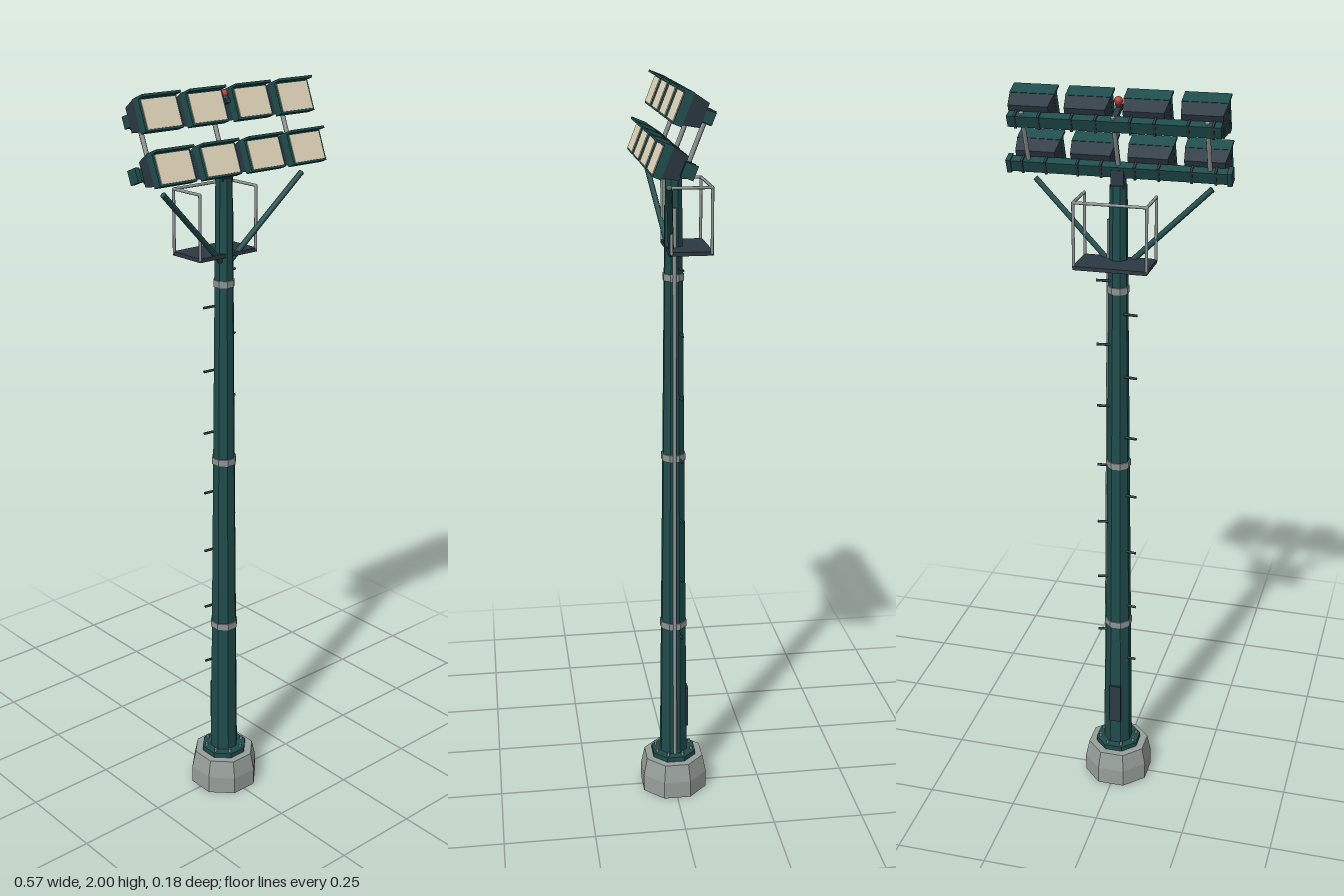
import * as THREE from 'three';

const mat = (name, color) => {
  const m = new THREE.MeshStandardMaterial({ color });
  m.name = name;
  return m;
};

export function createModel() {
  const green = mat('dark green paint', 0x1f4c4c);
  const slate = mat('slate housing', 0x2c3943);
  const steel = mat('galvanised steel', 0x8d9593);
  const concrete = mat('concrete', 0x98a09c);
  const cream = mat('warm lens', 0xe6d9bd);
  const red = mat('beacon red', 0xb5382e);

  const root = new THREE.Group();
  root.name = 'floodlightTower';

  const add = (parent, name, geo, material, x = 0, y = 0, z = 0) => {
    const m = new THREE.Mesh(geo, material);
    m.name = name;
    m.position.set(x, y, z);
    parent.add(m);
    return m;
  };
  const box = (w, h, d) => new THREE.BoxGeometry(w, h, d);

  // Eight-sided prism with flats to the front; sizes are centre-to-flat
  const octagon = (top, bottom, h) => {
    const k = 1 / Math.cos(Math.PI / 8);
    const g = new THREE.CylinderGeometry(top * k, bottom * k, h, 8).rotateY(Math.PI / 8).toNonIndexed();
    g.computeVertexNormals();
    return g;
  };

  // Round bar between two points
  const bar = (parent, name, a, b, r, material, sides = 8) => {
    const p = new THREE.Vector3(...a), q = new THREE.Vector3(...b);
    const m = add(parent, name, new THREE.CylinderGeometry(r, r, p.distanceTo(q), sides), material);
    m.position.copy(p).add(q).multiplyScalar(0.5);
    m.quaternion.setFromUnitVectors(new THREE.Vector3(0, 1, 0), q.sub(p).normalize());
    return m;
  };

  // Footing, flange and tapered pole
  const poleBottom = 0.11, poleTop = 1.77;
  const poleSize = (y) => 0.037 - 0.016 * (y - poleBottom) / (poleTop - poleBottom);
  add(root, 'footing', octagon(0.09, 0.09, 0.05), concrete, 0, 0.025, 0);
  add(root, 'footingShoulder', octagon(0.08, 0.09, 0.05), concrete, 0, 0.075, 0);
  add(root, 'baseFlange', octagon(0.06, 0.06, 0.014), green, 0, 0.107, 0);
  add(root, 'pole', octagon(poleSize(poleTop), poleSize(poleBottom), poleTop - poleBottom),
    green, 0, (poleTop + poleBottom) / 2, 0);
  for (let i = 0; i < 8; i++) {
    const a = (i + 0.5) * Math.PI / 4;
    add(root, 'anchorBolt', new THREE.CylinderGeometry(0.004, 0.004, 0.012, 6), steel,
      0.053 * Math.sin(a), 0.118, 0.053 * Math.cos(a));
  }
  for (const y of [0.515, 1.01, 1.5]) {
    const s = poleSize(y) + 0.003;
    add(root, 'jointBand', octagon(s, s, 0.018), steel, 0, y, 0);
  }

  // Access door on the back and conduit up the side
  add(root, 'accessDoor', box(0.032, 0.12, 0.008), slate, 0, 0.25, -0.037);
  bar(root, 'conduit', [0.038, 0.115, 0], [0.025, 1.68, 0], 0.005, steel);

  // Climbing steps, alternating sides
  for (let i = 0; i < 14; i++) {
    const side = i % 2 ? 1 : -1, y = 0.4 + i * 0.0865;
    const x = poleSize(y) - 0.008;
    bar(root, 'climbingStep', [side * x, y, -0.014], [side * 0.054, y, -0.018], 0.0035, slate, 6);
  }

  // Service platform with guard rail
  const platform = new THREE.Group();
  platform.name = 'servicePlatform';
  root.add(platform);
  add(platform, 'platformDeck', box(0.19, 0.01, 0.11), slate, 0, 1.575, -0.035);
  const corners = [[-0.093, 0.017], [-0.093, -0.086], [0.093, -0.086], [0.093, 0.017]];
  corners.forEach(([x, z], i) => {
    bar(platform, 'railPost', [x, 1.575, z], [x, 1.74, z], 0.004, steel);
    add(platform, 'railCorner', new THREE.SphereGeometry(0.004, 8, 6), steel, x, 1.74, z);
    if (i < 3) {
      const [nx, nz] = corners[i + 1];
      bar(platform, 'guardRail', [x, 1.74, z], [nx, 1.74, nz], 0.004, steel);
    }
  });

  // Diagonal braces
  for (const s of [-1, 1]) {
    bar(root, 'brace', [s * 0.018, 1.56, 0.008], [s * 0.228, 1.762, 0.042], 0.0075, green);
  }

  // Lamp head, tilted back
  const head = new THREE.Group();
  head.name = 'lampHead';
  head.position.set(0, 1.882, 0.015);
  head.rotation.x = -0.38;
  root.add(head);
  add(root, 'headMount', box(0.034, 0.045, 0.03), slate, 0, 1.785, 0);

  // Housing narrows towards its back
  const housing = box(0.113, 0.078, 0.042);
  const pos = housing.attributes.position;
  for (let i = 0; i < pos.count; i++) {
    if (pos.getZ(i) < 0) pos.setXY(i, pos.getX(i) * 0.9, pos.getY(i) * 0.78);
  }
  housing.computeVertexNormals();

  const makeLamp = (x, y) => {
    const lamp = new THREE.Group();
    lamp.name = 'floodlight';
    lamp.position.set(x, y, 0);
    head.add(lamp);
    add(lamp, 'lampHousing', housing, slate, 0, 0, -0.009);
    add(lamp, 'lampFrame', box(0.114, 0.082, 0.022), green, 0, -0.003, 0.023);
    add(lamp, 'lampLens', box(0.102, 0.07, 0.004), cream, 0, -0.004, 0.034);
    add(lamp, 'lampVisor', box(0.114, 0.006, 0.042), green, 0, 0.037, 0.033);
    for (const s of [-1, 1]) {
      add(lamp, 'mountBracket', box(0.006, 0.036, 0.026), slate, s * 0.03, 0, -0.043);
    }
  };

  for (const [y, half] of [[0.065, 0.265], [-0.065, 0.275]]) {
    add(head, 'crossbar', box(half * 2, 0.03, 0.026), green, 0, y, -0.041);
    for (const x of [-0.215, -0.073, 0.073, 0.215]) makeLamp(x, y);
  }
  for (const s of [-1, 1]) {
    add(head, 'crossbarEndCap', box(0.012, 0.036, 0.032), green, s * 0.28, -0.065, -0.041);
  }

  // Struts joining the crossbars
  for (const x of [-0.23, 0, 0.23]) {
    bar(head, 'rowStrut', [x, -0.085, -0.041], [x, 0.084, -0.041], 0.006, steel);
  }

  // Warning beacon on a small arm
  add(head, 'beaconArm', box(0.014, 0.012, 0.062), slate, 0, 0.072, -0.002);
  add(head, 'beaconBase', new THREE.CylinderGeometry(0.009, 0.009, 0.01, 10), slate, 0, 0.081, 0.02);
  add(head, 'beacon', new THREE.SphereGeometry(0.011, 12, 8), red, 0, 0.091, 0.02);

  return root;
}
